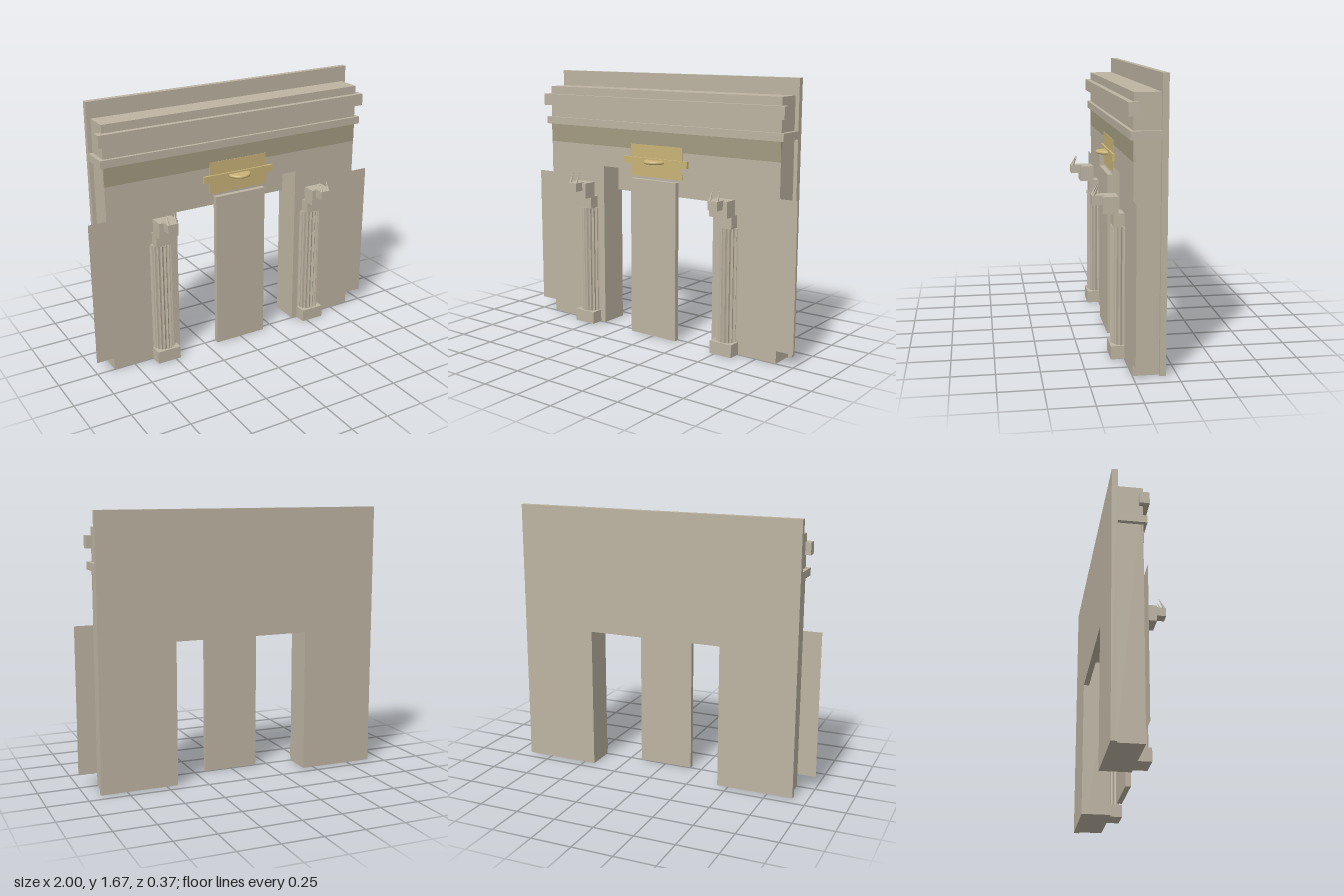
import * as THREE from 'three';

const stone = new THREE.MeshStandardMaterial({ color: 0xbdb4a2 });
const sheet = new THREE.MeshStandardMaterial({ color: 0xbdb4a2, side: THREE.DoubleSide });
const olive = new THREE.MeshStandardMaterial({ color: 0xa39c82 });
const gold = new THREE.MeshStandardMaterial({ color: 0xcab477 });

function add(parent, name, geometry, material = stone) {
  const mesh = new THREE.Mesh(geometry, material);
  mesh.name = name;
  parent.add(mesh);
  return mesh;
}

// Box given by its limits on each axis
function box(parent, name, [x0, x1], [y0, y1], [z0, z1], material) {
  const g = new THREE.BoxGeometry(x1 - x0, y1 - y0, z1 - z0);
  g.translate((x0 + x1) / 2, (y0 + y1) / 2, (z0 + z1) / 2);
  return add(parent, name, g, material);
}

// Wall slab with a doorway cut up from the ground
function portalSlab(halfWidth, height, openHalf, openTop, z0, z1) {
  const points = [
    [-halfWidth, 0], [-openHalf, 0], [-openHalf, openTop], [openHalf, openTop],
    [openHalf, 0], [halfWidth, 0], [halfWidth, height], [-halfWidth, height],
  ].map(([x, y]) => new THREE.Vector2(x, y));
  const g = new THREE.ExtrudeGeometry(new THREE.Shape(points), { depth: z1 - z0, bevelEnabled: false });
  return g.translate(0, 0, z0);
}

// Fluted shaft: sharp ridges with hollow grooves between them
function flutedShaft(radius, y0, y1, flutes = 20) {
  const points = [];
  const depths = [1, 0.9, 0.86, 0.9];
  for (let i = 0; i < flutes * 4; i++) {
    const a = (i / (flutes * 4)) * Math.PI * 2;
    const r = radius * depths[i % 4];
    points.push(new THREE.Vector2(r * Math.cos(a), r * Math.sin(a)));
  }
  const g = new THREE.ExtrudeGeometry(new THREE.Shape(points), { depth: y1 - y0, bevelEnabled: false });
  return g.rotateX(-Math.PI / 2).translate(0, y0, 0);
}

// Column with a horned head, centred on its own x = 0
function createColumn() {
  const column = new THREE.Group();
  box(column, 'columnBase', [-0.077, 0.077], [0, 0.08], [0, 0.08]);
  add(column, 'columnShaft', flutedShaft(0.073, 0.08, 0.785));
  box(column, 'capitalNeck', [-0.055, 0.055], [0.785, 0.862], [0, 0.062]);
  box(column, 'capitalBlock', [-0.062, 0.062], [0.86, 0.96], [0.035, 0.123]);
  box(column, 'head', [-0.033, 0.033], [0.91, 0.965], [0.11, 0.183]);
  for (const s of [-1, 1]) {
    const base = new THREE.Vector3(s * 0.026, 0.96, 0.174);
    const tip = new THREE.Vector3(s * 0.025, 1.03, 0.14);
    const dir = tip.clone().sub(base);
    const horn = add(column, 'horn', new THREE.ConeGeometry(0.009, dir.length(), 8));
    horn.position.copy(base).add(tip).multiplyScalar(0.5);
    horn.quaternion.setFromUnitVectors(new THREE.Vector3(0, 1, 0), dir.normalize());
  }
  return column;
}

export function createModel() {
  const model = new THREE.Group();
  model.name = 'portal';

  // Walls
  add(model, 'backWall', portalSlab(0.91, 1.67, 0.43, 0.89, -0.185, -0.15));
  add(model, 'frontWall', portalSlab(0.885, 1.57, 0.43, 1.065, -0.15, 0));

  // Mouldings and frieze
  box(model, 'cornice', [-0.91, 0.91], [1.32, 1.367], [-0.15, 0.02]);
  box(model, 'upperMoulding', [-0.92, 0.92], [1.445, 1.52], [-0.025, 0.033]);
  box(model, 'frieze', [-0.885, 0.885], [1.2, 1.32], [-0.01, 0.002], olive);

  // Door slab
  box(model, 'door', [-0.175, 0.175], [0, 1.015], [0.003, 0.035]);

  // Plaque with side lugs and a rounded shelf
  const plaque = new THREE.Group();
  plaque.name = 'plaque';
  model.add(plaque);
  box(plaque, 'plaquePanel', [-0.2, 0.2], [1.03, 1.232], [-0.002, 0.004], gold);
  box(plaque, 'plaqueLugs', [-0.245, 0.245], [1.108, 1.15], [0, 0.016], gold);
  const rim = [[0, -0.01], [0.066, -0.01], [0.072, -0.007], [0.075, 0], [0.072, 0.007], [0.066, 0.01], [0, 0.01]];
  const shelf = add(plaque, 'plaqueShelf',
    new THREE.LatheGeometry(rim.map(([r, y]) => new THREE.Vector2(r, y)), 40), gold);
  shelf.position.set(0, 1.13, 0.01);

  for (const s of [-1, 1]) {
    const column = createColumn();
    column.name = s > 0 ? 'leftColumn' : 'rightColumn';
    column.position.x = s * 0.545;
    model.add(column);

    // Thin side panel over the wall's outer edge
    const wing = add(model, s > 0 ? 'leftWing' : 'rightWing', new THREE.PlaneGeometry(0.36, 0.91), sheet);
    wing.position.set(s * 0.82, 0.535, 0.002);
  }
  return model;
}
